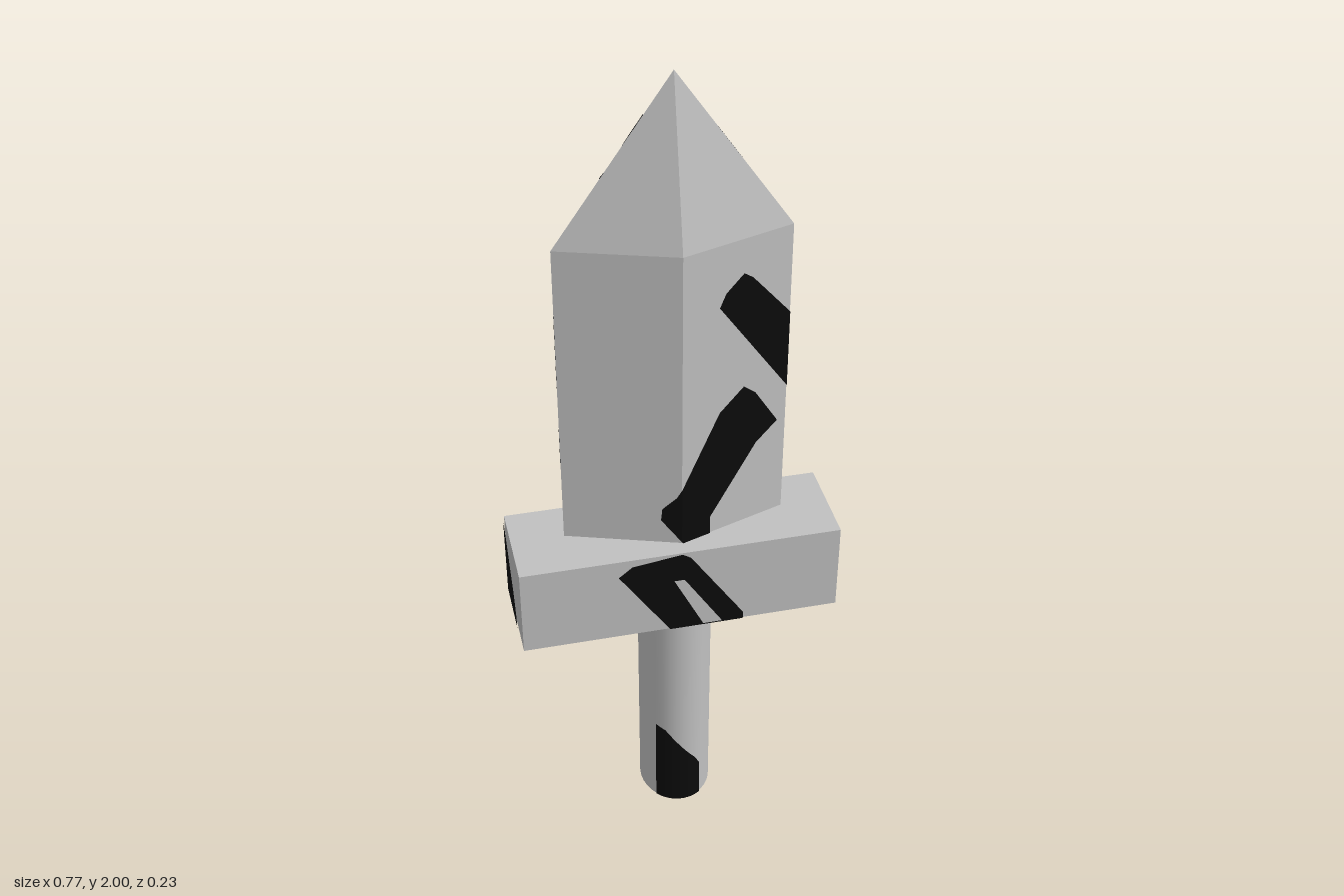
import * as THREE from 'three';

const steel = new THREE.MeshStandardMaterial({ color: 0xc0c0c0 });
const paint = new THREE.MeshStandardMaterial({ color: 0x0b0b0b, side: THREE.DoubleSide });
steel.name = 'steel grey';
paint.name = 'black paint';

// Shared axis of blade and grip, and the main sizes
const CX = 0.007, CZ = -0.01;
const BLADE = { hx: 0.265, hz: 0.088, shoulder: 1.62, tip: 2, low: 0.84, point: 0.46 };
const GUARD = { hx: 0.385, hz: 0.115, bottom: 0.62, top: 0.85 };
const GRIP = { rx: 0.09, rz: 0.103 };
const LIFT = 0.003;

// Cuts a polygon by the half-plane a*x + b*y <= c
function cut(poly, [a, b, c]) {
  const out = [];
  poly.forEach((p, i) => {
    const q = poly[(i + 1) % poly.length];
    const dp = a * p[0] + b * p[1] - c, dq = a * q[0] + b * q[1] - c;
    if (dp <= 0) out.push(p);
    if ((dp < 0 && dq > 0) || (dp > 0 && dq < 0)) {
      const t = dp / (dp - dq);
      out.push([p[0] + (q[0] - p[0]) * t, p[1] + (q[1] - p[1]) * t]);
    }
  });
  return out;
}

// Lays flat polygons onto a surface, piece by piece for every region
function paintPatch(name, polys, place, regions = [[]]) {
  const pos = [];
  for (const poly of polys) for (const region of regions) {
    const piece = region.reduce(cut, poly);
    if (piece.length < 3) continue;
    const pts = piece.map(p => new THREE.Vector2(p[0], p[1]));
    for (const tri of THREE.ShapeUtils.triangulateShape(pts, []))
      for (const i of tri) pos.push(...place(pts[i].x, pts[i].y));
  }
  const geo = new THREE.BufferGeometry();
  geo.setAttribute('position', new THREE.Float32BufferAttribute(pos, 3));
  geo.computeVertexNormals();
  const mesh = new THREE.Mesh(geo, paint);
  mesh.name = name;
  return mesh;
}

// The flat faces of one blade side: left and right of the ridge, body and tip
const bladeRegions = [];
for (const s of [-1, 1]) {
  const ridge = [-s, 0, -s * CX];
  const tipH = BLADE.tip - BLADE.shoulder;
  bladeRegions.push([ridge, [s, 0, s * CX + BLADE.hx], [0, 1, BLADE.shoulder]]);
  bladeRegions.push([ridge, [0, -1, -BLADE.shoulder],
    [s / BLADE.hx, 1 / tipH, BLADE.tip / tipH + s * CX / BLADE.hx]]);
}
const onBlade = side => (x, y) => {
  const k = Math.min(1, (BLADE.tip - y) / (BLADE.tip - BLADE.shoulder));
  return [x, y, CZ + side * (BLADE.hz * (k - Math.abs(x - CX) / BLADE.hx) + LIFT)];
};

// Narrow upright bands that follow the round grip
const gripRegions = [];
for (let x = -0.08; x < 0.08; x += 0.01) gripRegions.push([[-1, 0, -x], [1, 0, x + 0.01]]);
const onGrip = side => (x, y) => {
  const k = (x - CX) / GRIP.rx;
  return [x, y, side * ((GRIP.rz) * Math.sqrt(Math.max(0, 1 - k * k)) + LIFT)];
};

export function createModel() {
  const model = new THREE.Group();
  const add = (name, geo) => {
    const mesh = new THREE.Mesh(geo, steel);
    mesh.name = name;
    model.add(mesh);
    return mesh;
  };

  // Blade: diamond section, pointed at both ends
  const profile = [[0, BLADE.point], [1, BLADE.low], [1, BLADE.shoulder], [0, BLADE.tip]]
    .map(p => new THREE.Vector2(...p));
  const blade = new THREE.LatheGeometry(profile, 4)
    .scale(BLADE.hx, 1, BLADE.hz).translate(CX, 0, CZ).toNonIndexed();
  blade.computeVertexNormals();
  add('blade', blade);

  // Guard and grip
  const gh = GUARD.top - GUARD.bottom;
  add('guard', new THREE.BoxGeometry(GUARD.hx * 2, gh, GUARD.hz * 2))
    .position.y = GUARD.bottom + gh / 2;
  add('grip', new THREE.CylinderGeometry(1, 1, 0.64, 32)
    .scale(GRIP.rx, 1, GRIP.rz).translate(CX, 0.32, 0));

  // Blade markings, front
  model.add(paintPatch('bladeFrontMarks', [
    [[0.095, 1.468], [0.11, 1.5], [0.153, 1.537], [0.175, 1.52], [0.28, 1.39], [0.28, 1.19]],
    [[0.10, 1.19], [0.16, 1.24], [0.19, 1.213], [0.25, 1.113], [0.196, 1.07], [0.08, 0.9],
      [0.08, 0.85], [0.01, 0.85], [-0.04, 0.917], [-0.037, 0.95], [-0.005, 0.985]],
  ], onBlade(1), bladeRegions));

  // Blade markings, back: twin stripes, fork, leg and cross arms
  model.add(paintPatch('bladeBackMarks', [
    [[-0.057, 1.91], [0.06, 1.755], [0.115, 1.68], [0.28, 1.405], [0.28, 1.26], [0.225, 1.35], [-0.10, 1.845]],
    [[-0.115, 1.815], [0.205, 1.325], [0.19, 1.285], [-0.15, 1.776]],
    [[0.205, 1.325], [0.225, 1.35], [0.28, 1.27], [0.28, 1.17], [0.256, 1.175], [0.19, 1.285]],
    [[0.10, 1.87], [0.20, 1.72], [0.115, 1.68], [0.0, 1.75], [0.0, 1.835], [0.055, 1.8]],
    [[0.19, 1.285], [0.10, 1.105], [0.105, 1.06], [0.142, 1.03], [0.17, 1.045], [0.256, 1.175]],
    [[-0.004, 1.44], [-0.088, 1.56], [-0.125, 1.54], [-0.194, 1.44], [-0.23, 1.26], [-0.104, 1.26]],
    [[-0.104, 1.26], [-0.194, 1.44], [-0.23, 1.465], [-0.27, 1.455], [-0.27, 1.275],
      [-0.226, 1.258], [-0.088, 1.026], [-0.025, 1.083]],
    [[-0.216, 1.115], [-0.27, 1.17], [-0.27, 1.05], [-0.23, 1.075]],
  ], onBlade(-1), bladeRegions));

  // Guard markings: front, right end and underside
  model.add(paintPatch('guardFrontMarks', [
    [[-0.153, 0.805], [-0.12, 0.832], [-0.06, 0.82], [-0.02, 0.77], [0.053, 0.62], [-0.03, 0.62]],
    [[-0.12, 0.832], [0.0, 0.848], [0.02, 0.835], [0.15, 0.64], [0.15, 0.62], [0.10, 0.62],
      [0.005, 0.77], [-0.02, 0.77], [-0.1, 0.79]],
  ], (x, y) => [x, y, GUARD.hz + LIFT]));
  model.add(paintPatch('guardEndMark', [
    [[-0.115, 0.83], [-0.1, 0.83], [0.0, 0.71], [0.03, 0.65], [0.03, 0.62], [-0.115, 0.62]],
  ], (z, y) => [-GUARD.hx - LIFT, y, z]));
  model.add(paintPatch('guardUndersideMarks', [
    [[-0.19, -0.11], [-0.28, -0.11], [-0.33, -0.08], [-0.305, 0], [-0.25, -0.02], [-0.2, -0.08]],
    [[-0.03, -0.11], [-0.12, -0.11], [-0.15, -0.07], [-0.1, -0.04], [0, -0.04]],
    [[0.15, 0.115], [-0.03, 0.115], [0, 0.06], [0.08, 0.03], [0.14, 0.06]],
  ], (x, z) => [x, GUARD.bottom - LIFT, z]));

  // Grip markings
  model.add(paintPatch('gripFrontMark', [
    [[-0.058, 0.26], [-0.037, 0.25], [0.04, 0.14], [0.053, 0.11], [0.053, 0], [-0.058, 0]],
  ], onGrip(1), gripRegions));
  model.add(paintPatch('gripBackMark', [
    [[0.06, 0.6], [0.06, 0.33], [0.02, 0.24], [-0.02, 0.21], [-0.045, 0.24], [-0.055, 0.42],
      [0, 0.54], [0.03, 0.6]],
  ], onGrip(-1), gripRegions));

  return model;
}
